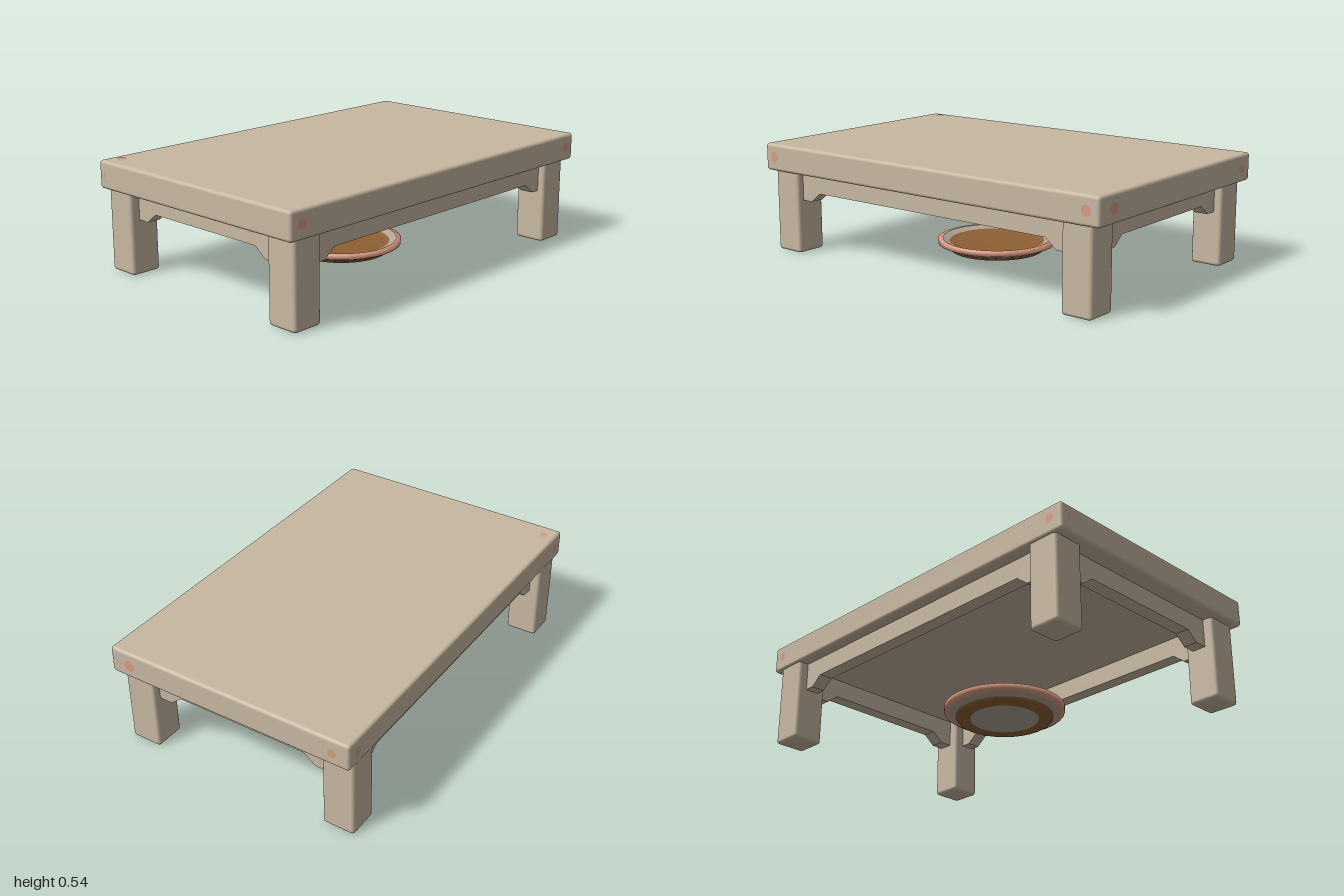
import * as THREE from 'three';
import { RoundedBoxGeometry } from 'three/addons/geometries/RoundedBoxGeometry.js';

const mat = (name, color, side = THREE.FrontSide) => {
  const m = new THREE.MeshStandardMaterial({ color, side });
  m.name = name;
  return m;
};

export function createModel() {
  const model = new THREE.Group();
  const wood = mat('pale wood', 0xc8b8a2);
  const salmon = mat('salmon', 0xd99a80, THREE.DoubleSide);
  const brown = mat('brown glaze', 0x8f6034, THREE.DoubleSide);
  const grey = mat('warm grey', 0xb0a598, THREE.DoubleSide);

  const add = (name, geometry, material, x = 0, y = 0, z = 0) => {
    const mesh = new THREE.Mesh(geometry, material);
    mesh.name = name;
    mesh.position.set(x, y, z);
    model.add(mesh);
    return mesh;
  };

  // Table top with softly rounded edges
  add('tableTop', new RoundedBoxGeometry(2, 0.135, 1.27, 3, 0.016), wood, 0, 0.4775, 0);

  // Four square legs with small chamfers at the feet
  for (const x of [-0.88, 0.872]) {
    for (const z of [-0.545, 0.53]) {
      add('leg', new RoundedBoxGeometry(0.155, 0.43, 0.16, 2, 0.016), wood, x, 0.22, z);
    }
  }

  // Apron rail: a board whose lower edge steps down to a bracket at each leg
  const apron = (half, thickness) => {
    const s = new THREE.Shape();
    s.moveTo(-half, 0.42);
    s.lineTo(-half, 0.27);
    s.lineTo(-half + 0.065, 0.27);
    s.lineTo(-half + 0.125, 0.317);
    s.lineTo(half - 0.125, 0.317);
    s.lineTo(half - 0.065, 0.27);
    s.lineTo(half, 0.27);
    s.lineTo(half, 0.42);
    return new THREE.ExtrudeGeometry(s, { depth: thickness, bevelEnabled: false })
      .translate(0, 0, -thickness / 2);
  };
  for (const s of [-1, 1]) {
    add('longApron', apron(0.81, 0.07), wood, 0, 0, s * 0.54);
    add('shortApron', apron(0.46, 0.07), wood, s * 0.875, 0, -0.01).rotation.y = Math.PI / 2;
  }

  // Shallow dish beneath the table, in coloured bands of revolution
  const band = (name, points, material) =>
    add(name, new THREE.LatheGeometry(points.map(p => new THREE.Vector2(...p)), 32), material, -0.037, 0, 0);
  band('dishFoot', [[0.165, 0.03], [0.228, 0.03], [0.238, 0.045]], brown);
  band('dishFootCentre', [[0, 0.031], [0.165, 0.03]], grey);
  band('dishUnderside', [[0.238, 0.045], [0.268, 0.055]], grey);
  band('dishRim', [[0.268, 0.055], [0.291, 0.066], [0.293, 0.088], [0.27, 0.09]], salmon);
  band('dishLip', [[0.27, 0.09], [0.235, 0.076]], grey);
  band('dishInside', [[0.235, 0.076], [0.2, 0.066], [0, 0.064]], brown);

  // Small round spots near the corners of the table top
  const spot = (r, x, y, z, rx = 0, ry = 0) =>
    add('spot', new THREE.CircleGeometry(r, 12), salmon, x, y, z).rotation.set(rx, ry, 0);
  for (const x of [-0.935, 0.935]) {
    spot(0.025, x, 0.48, 0.637);
    spot(0.022, x, 0.48, -0.637, 0, Math.PI);
  }
  spot(0.029, 1.002, 0.477, 0.53, 0, Math.PI / 2);
  spot(0.023, 1.002, 0.475, -0.55, 0, Math.PI / 2);
  spot(0.01, -1.002, 0.48, -0.59, 0, -Math.PI / 2);
  spot(0.02, -0.915, 0.547, -0.575, -Math.PI / 2);

  return model;
}
